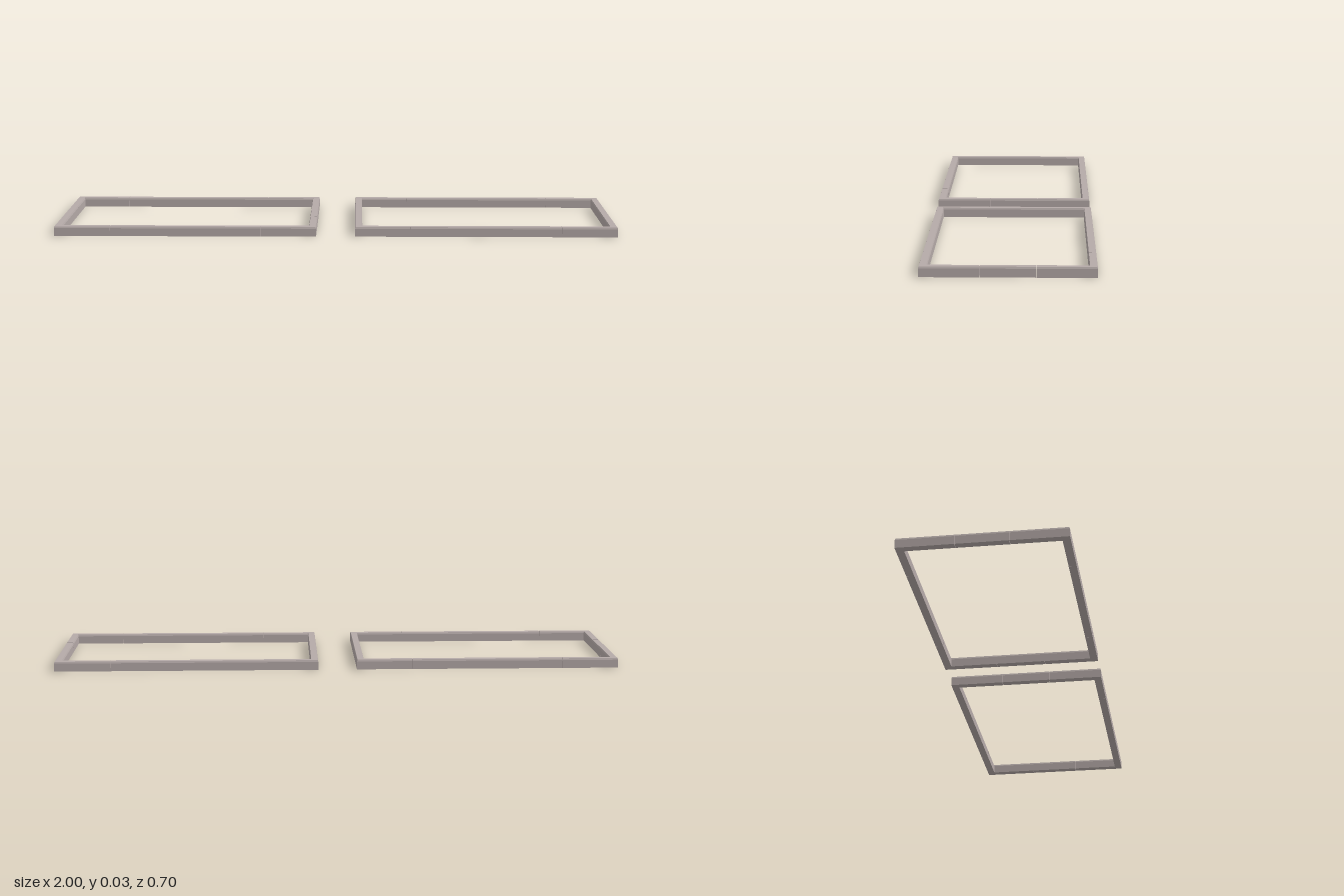
import * as THREE from 'three';

const WIDTH = 0.914, DEPTH = 0.554;   // outer size of one frame
const BAR = 0.026, HEIGHT = 0.034;    // bar section
const CHAMFER_H = 0.006, CHAMFER_W = 0.002;
const JOINT = 0.001;                  // gap between bar pieces
const TILT = -0.075;                  // turn of each frame about y

const material = new THREE.MeshStandardMaterial({ color: 0xb5aaa8, flatShading: true });

// Bar section: x points outward from the frame, y is up
function barProfile() {
  const h = BAR / 2;
  return new THREE.Shape([
    new THREE.Vector2(-h, 0),
    new THREE.Vector2(h, 0),
    new THREE.Vector2(h, HEIGHT - CHAMFER_H),
    new THREE.Vector2(h - CHAMFER_W, HEIGHT),
    new THREE.Vector2(-h + CHAMFER_W, HEIGHT),
    new THREE.Vector2(-h, HEIGHT - CHAMFER_H),
  ]);
}

// One piece from z = a to z = b; ends lying on a corner are mitred
function barPiece(a, b, mitreStart, mitreEnd) {
  const geometry = new THREE.ExtrudeGeometry(barProfile(), { depth: b - a, bevelEnabled: false });
  geometry.translate(0, 0, a);
  const p = geometry.attributes.position;
  const middle = (a + b) / 2;
  for (let i = 0; i < p.count; i++) {
    const z = p.getZ(i);
    if (z < middle && mitreStart) p.setZ(i, z - p.getX(i));
    if (z > middle && mitreEnd) p.setZ(i, z + p.getX(i));
  }
  geometry.computeVertexNormals();
  return new THREE.Mesh(geometry, material);
}

// A side of the frame made of three pieces with joints at +-cut
function frameSide(name, length, cut) {
  const side = new THREE.Group();
  side.name = name;
  const end = (length - BAR) / 2;
  const stops = [-end, -cut, cut, end];
  for (let i = 0; i < 3; i++) {
    const first = i === 0, last = i === 2;
    const piece = barPiece(
      stops[i] + (first ? 0 : JOINT / 2),
      stops[i + 1] - (last ? 0 : JOINT / 2),
      first, last);
    piece.name = `${name}Piece${i + 1}`;
    side.add(piece);
  }
  return side;
}

function rectangularFrame(name) {
  const frame = new THREE.Group();
  frame.name = name;
  const names = ['leftBar', 'backBar', 'rightBar', 'frontBar'];
  names.forEach((barName, i) => {
    const long = i % 2 === 1;
    const side = frameSide(barName, long ? WIDTH : DEPTH, long ? 0.263 : 0.087);
    const angle = i * Math.PI / 2;
    const reach = ((long ? DEPTH : WIDTH) - BAR) / 2;
    side.rotation.y = angle;
    side.position.set(Math.cos(angle) * reach, 0, -Math.sin(angle) * reach);
    frame.add(side);
  });
  return frame;
}

export function createModel() {
  const model = new THREE.Group();
  model.name = 'twoFrames';
  for (const s of [-1, 1]) {
    const frame = rectangularFrame(s < 0 ? 'rightFrame' : 'leftFrame');
    frame.position.set(s * 0.523, 0, s * 0.038);
    frame.rotation.y = TILT;
    model.add(frame);
  }
  return model;
}
